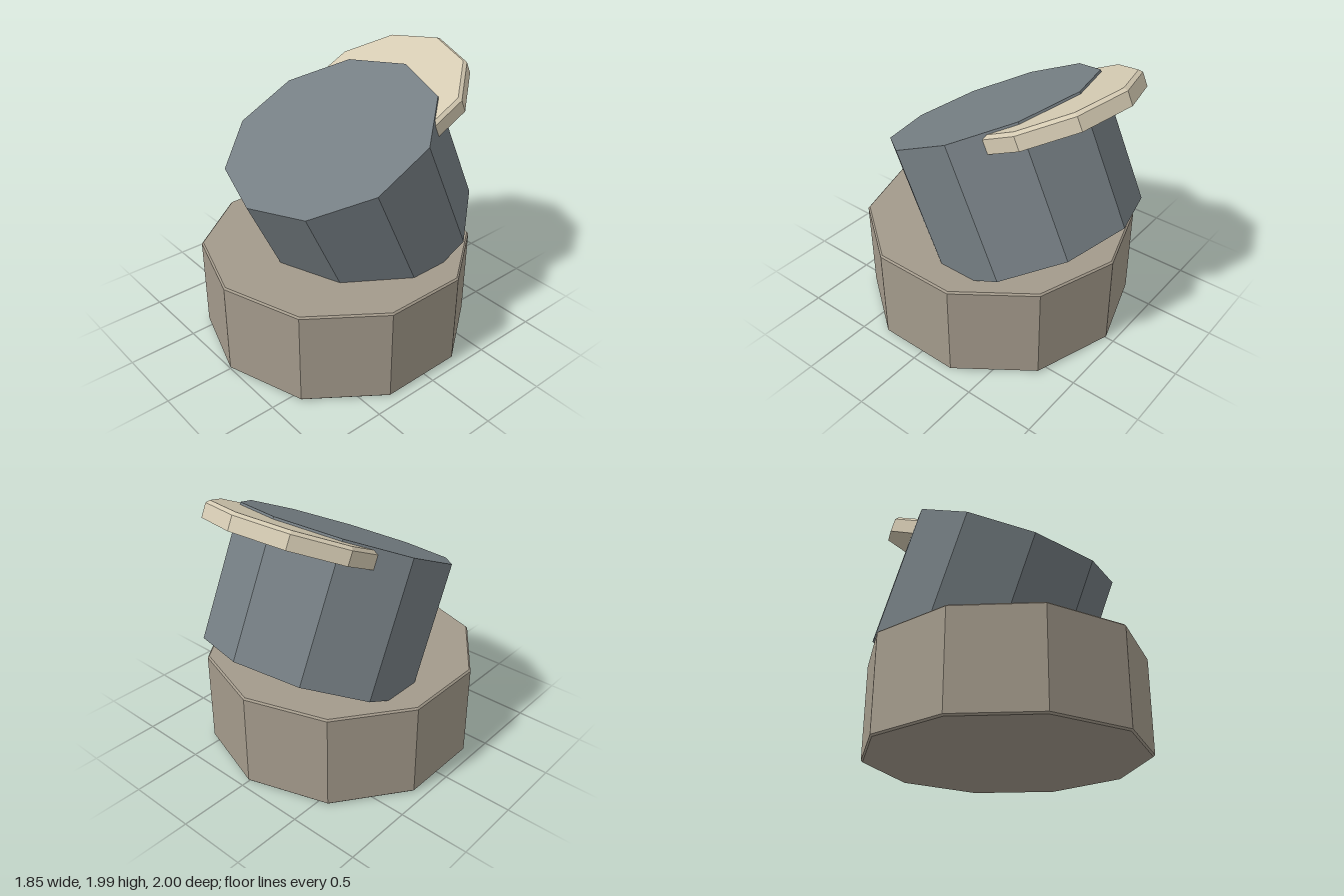
import * as THREE from 'three';

const SIDES = 10;
const TILT = THREE.MathUtils.degToRad(25);

function material(name, color) {
  const m = new THREE.MeshStandardMaterial({ color, flatShading: true });
  m.name = name;
  return m;
}

// Ten-sided drum standing on its local y = 0, with chamfered rims and a corner facing +z
function drum(name, mat, radius, height, bottomChamfer, topChamfer) {
  const profile = [
    [0, 0],
    [radius - bottomChamfer, 0],
    [radius, bottomChamfer],
    [radius, height - topChamfer],
    [radius - topChamfer, height],
    [0, height],
  ]
    .filter((p, i, all) => i === 0 || p[0] !== all[i - 1][0] || p[1] !== all[i - 1][1])
    .map(([x, y]) => new THREE.Vector2(x, y));
  const geometry = new THREE.LatheGeometry(profile, SIDES).toNonIndexed();
  geometry.computeVertexNormals();
  const mesh = new THREE.Mesh(geometry, mat);
  mesh.name = name;
  return mesh;
}

export function createModel() {
  const group = new THREE.Group();
  const stone = material('warm taupe', 0xa39a8b);
  const slate = material('slate grey', 0x757e83);
  const cream = material('pale cream', 0xd4cab2);

  // Wide upright base
  const base = drum('base', stone, 0.97, 0.695, 0.012, 0.012);
  base.position.set(0, 0, 0.03);

  // Drum leaning forward, sunk into the base
  const body = drum('tiltedDrum', slate, 0.762, 0.95, 0, 0);
  body.position.set(0, 0.686, -0.311);
  body.rotation.x = TILT;

  // Thin disc set into the back of the drum, just under its top face
  const disc = drum('backDisc', cream, 0.62, 0.119, 0, 0.022);
  disc.position.set(0, 1.632, -0.412);
  disc.rotation.x = TILT;

  group.add(base, body, disc);
  return group;
}
